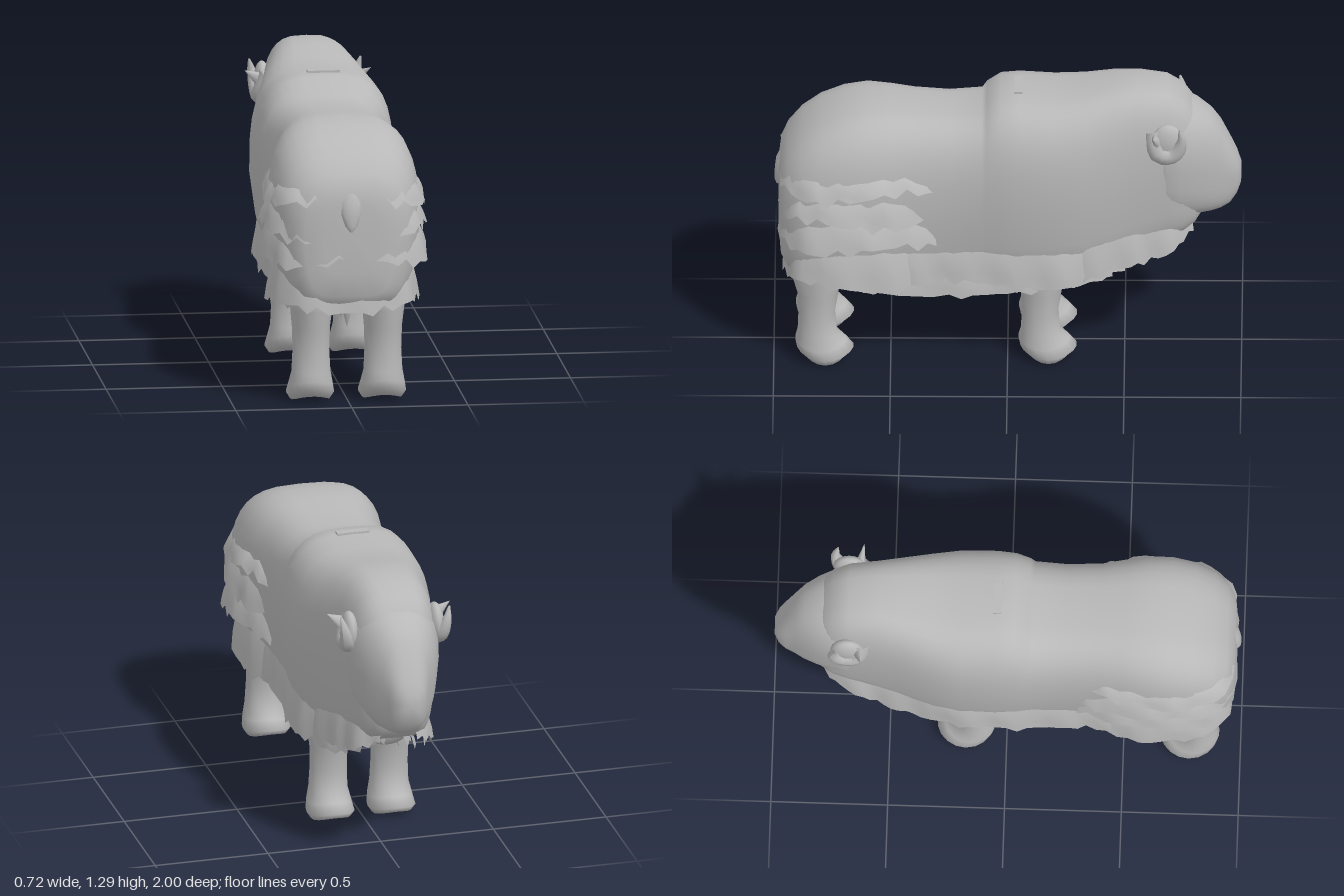
import * as THREE from 'three';

const fur = new THREE.MeshStandardMaterial({ color: 0xb8b8b8, side: THREE.DoubleSide });
fur.name = 'grey fur';

// Small repeatable noise in -1..1
const noise = (i) => Math.sin(i * 12.9898) * 0.6 + Math.sin(i * 4.137 + 1.3) * 0.4;

// Surface through rows of points; closed rows wrap around and get end caps
function gridMesh(name, rows, closed) {
  const n = rows[0].length, pos = rows.flat(2), idx = [];
  for (let i = 0; i < rows.length - 1; i++) {
    for (let j = 0; j < (closed ? n : n - 1); j++) {
      const a = i * n + j, b = i * n + (j + 1) % n;
      idx.push(a, b, a + n, b, b + n, a + n);
    }
  }
  if (closed) {
    [0, rows.length - 1].forEach((i) => {
      const c = pos.length / 3, r = rows[i];
      pos.push(...[0, 1, 2].map((k) => r.reduce((s, p) => s + p[k], 0) / n));
      for (let j = 0; j < n; j++) {
        const a = i * n + j, b = i * n + (j + 1) % n;
        if (i === 0) idx.push(c, b, a); else idx.push(c, a, b);
      }
    });
  }
  const g = new THREE.BufferGeometry();
  g.setAttribute('position', new THREE.Float32BufferAttribute(pos, 3));
  g.setIndex(idx);
  g.computeVertexNormals();
  const m = new THREE.Mesh(g, fur);
  m.name = name;
  return m;
}

// Rounded section at z: domed above, tapered below
function section([z, top, bot, w], mid, upPower, lowPower, taper) {
  const yc = bot + (top - bot) * mid, ring = [], n = 36;
  for (let j = 0; j < n; j++) {
    const a = (j / n) * Math.PI * 2, c = Math.cos(a), s = Math.sin(a);
    const e = 2 / (s >= 0 ? upPower : lowPower);
    const px = Math.sign(c) * Math.abs(c) ** e, py = Math.abs(s) ** e;
    ring.push(s >= 0 ? [w * px, yc + (top - yc) * py, z]
      : [w * px * (1 - taper * py), yc - (yc - bot) * py, z]);
  }
  return ring;
}

// Hanging layer of hair along a plan path [x, z], with ragged locks
function skirt(name, path, yTop, yBottom, inset, flare, n, jag, seed) {
  const curve = new THREE.CatmullRomCurve3(path.map(([x, z]) => new THREE.Vector3(x, 0, z)));
  const rows = [[], [], [], []];
  for (let i = 0; i <= n; i++) {
    const t = i / n, p = curve.getPoint(t), d = curve.getTangent(t);
    const y0 = yTop, y1 = yBottom(t) + jag * noise(i + seed) + (i % 2 ? jag * 0.6 : 0);
    [0, 0.35, 0.75, 1].forEach((v, k) => {
      const out = (flare + inset) * Math.sqrt(v) - inset + (k > 1 ? 0.01 * noise(i * 3 + seed) : 0);
      rows[k].push([p.x + d.z * out, y0 + (y1 - y0) * v, p.z - d.x * out]);
    });
  }
  return gridMesh(name, rows, false);
}

// Leg sections: y, centre z, half depth, half width
function leg(name, x, z) {
  const prof = [[0.0, -0.03, 0.09, 0.085], [0.03, -0.03, 0.122, 0.104], [0.07, -0.01, 0.11, 0.096],
    [0.13, 0.005, 0.085, 0.084], [0.22, 0.005, 0.078, 0.078], [0.32, 0, 0.088, 0.081],
    [0.4, 0, 0.11, 0.09], [0.52, 0, 0.12, 0.095]];
  const rows = prof.map(([y, cz, rz, rx], k) => Array.from({ length: 18 }, (_, j) => {
    const a = (j / 18) * Math.PI * 2;
    // the heel and toe lift slightly off the ground
    const lift = y < 0.1 ? 0.025 * Math.abs(Math.sin(a)) ** 2 : 0;
    const r = 1 + (k > 3 ? 0.05 * noise(j * 2 + k) : 0);
    return [x + rx * r * Math.cos(a), y + lift, z + cz - rz * r * Math.sin(a)];
  }));
  return gridMesh(name, rows, true);
}

// Horn curling up beside the head, tapering to a tip
function hornMesh(name, s) {
  const curve = new THREE.CatmullRomCurve3([[0.16, 1.12, -0.63], [0.195, 1.03, -0.65],
    [0.205, 1.03, -0.71], [0.225, 1.1, -0.745], [0.24, 1.165, -0.735]].map(([x, y, z]) => new THREE.Vector3(s * x, y, z)));
  const tube = new THREE.TubeGeometry(curve, 16, 0.05, 10);
  const p = tube.attributes.position, v = new THREE.Vector3();
  for (let i = 0; i < p.count; i++) {
    const t = Math.floor(i / 11) / 16, c = curve.getPointAt(t);
    v.fromBufferAttribute(p, i).sub(c).multiplyScalar(1 - 0.92 * t * t).add(c);
    p.setXYZ(i, v.x, v.y, v.z);
  }
  tube.computeVertexNormals();
  const m = new THREE.Mesh(tube, fur);
  m.name = name;
  return m;
}

export function createModel() {
  const g = new THREE.Group();
  g.name = 'shaggyOx';

  // Body: z, top, bottom, half width
  const body = [[-0.84, 1.1, 0.68, 0.1], [-0.8, 1.17, 0.62, 0.145], [-0.75, 1.235, 0.585, 0.175],
    [-0.68, 1.275, 0.56, 0.195], [-0.56, 1.29, 0.5, 0.212], [-0.45, 1.28, 0.46, 0.24],
    [-0.33, 1.255, 0.43, 0.275], [-0.2, 1.24, 0.42, 0.302], [-0.05, 1.25, 0.41, 0.302],
    [0.03, 1.245, 0.41, 0.295], [0.09, 1.205, 0.41, 0.285], [0.11, 1.175, 0.41, 0.28],
    [0.25, 1.165, 0.4, 0.274], [0.4, 1.175, 0.4, 0.28], [0.5, 1.185, 0.4, 0.3],
    [0.6, 1.19, 0.4, 0.318], [0.7, 1.17, 0.4, 0.323], [0.8, 1.13, 0.4, 0.313],
    [0.88, 1.075, 0.41, 0.29], [0.94, 1.01, 0.43, 0.25], [0.97, 0.95, 0.48, 0.2],
    [0.98, 0.88, 0.58, 0.12]];
  g.add(gridMesh('body', body.map((s) => section(s, 0.45, 3.2, 5, 0.16)), true));

  // Soft underside between the legs
  const belly = [[-0.62, 0.6, 0.5, 0.1], [-0.45, 0.6, 0.44, 0.17], [-0.2, 0.6, 0.4, 0.19], [0, 0.6, 0.355, 0.2],
    [0.2, 0.6, 0.33, 0.2], [0.4, 0.6, 0.335, 0.2], [0.6, 0.6, 0.35, 0.18], [0.8, 0.6, 0.38, 0.12], [0.88, 0.6, 0.42, 0.08]];
  g.add(gridMesh('belly', belly.map((s) => section(s, 0.6, 3, 2.2, 0.2)), true));

  // Head: deep forehead narrowing to the muzzle
  const head = [[-0.998, 0.88, 0.79, 0.035], [-0.98, 0.935, 0.74, 0.065], [-0.95, 1.0, 0.695, 0.085],
    [-0.91, 1.08, 0.672, 0.105], [-0.87, 1.13, 0.665, 0.135], [-0.81, 1.175, 0.66, 0.166],
    [-0.74, 1.21, 0.66, 0.192], [-0.68, 1.2, 0.665, 0.202], [-0.63, 1.17, 0.7, 0.18]];
  g.add(gridMesh('head', head.map((s) => section(s, 0.5, 2.5, 3.5, 0.12)), true));

  // Plan of the hindquarters, from the flank round to the back
  const hind = [[0.24, 0.32], [0.295, 0.46], [0.325, 0.62], [0.32, 0.78], [0.275, 0.905], [0.17, 0.96]];

  for (const s of [1, -1]) {
    const side = s > 0 ? 'left' : 'right';
    const place = (a) => (s > 0 ? a : a.slice().reverse()).map(([x, z]) => [s * x, z]);
    const dir = (f) => (t) => f(s > 0 ? t : 1 - t);

    // Horn on a rounded boss, and ear standing out behind it
    const boss = new THREE.Mesh(new THREE.SphereGeometry(1, 16, 12), fur);
    boss.name = side + 'HornBoss';
    boss.scale.set(0.035, 0.085, 0.07);
    boss.position.set(s * 0.19, 1.08, -0.685);
    const ear = new THREE.Mesh(new THREE.ConeGeometry(0.06, 0.15, 10), fur);
    ear.name = side + 'Ear';
    ear.scale.z = 0.6;
    ear.position.set(s * 0.21, 1.1, -0.635);
    ear.rotation.set(0.3, 0, -s * 1.0);
    g.add(hornMesh(side + 'Horn', s), boss, ear);

    // Legs
    g.add(leg(side + 'FrontLeg', s * 0.135, -0.145), leg(side + 'RearLeg', s * 0.155, 0.81));

    // Long hair along the flank, belly and chest
    g.add(skirt(side + 'FlankHair', place([[0.2, -0.44], [0.272, -0.22], [0.272, 0], [0.255, 0.25], [0.265, 0.45]]),
      0.62, () => 0.415, 0.03, 0.018, 22, 0.025, 3));
    [0.2, 0.11].forEach((x, k) => g.add(skirt(side + 'BellyHair' + (k + 1),
      place([[x * 0.7, -0.5], [x * 0.95, -0.25], [x, 0], [x, 0.25], [x, 0.62]]),
      0.5, dir((t) => 0.425 - 0.1 * Math.sin(t * Math.PI * 0.75)), 0.03, 0.015, 20, 0.016, 8 + k)));
    g.add(skirt(side + 'ChestHair', place([[0.07, -0.78], [0.15, -0.7], [0.18, -0.58], [0.21, -0.46], [0.24, -0.32]]),
      0.72, dir((t) => 0.575 - 0.16 * t), 0.035, 0.018, 16, 0.02, 5));
    g.add(skirt(side + 'InnerChestHair', place([[0.03, -0.72], [0.08, -0.62], [0.1, -0.52], [0.11, -0.4]]),
      0.62, dir((t) => 0.54 - 0.12 * t), 0.02, 0.015, 10, 0.02, 2));

    // Upper ragged tiers on the thighs, sinking into the rump at the back
    [[0.97, 0.98, 0.86], [0.99, 0.9, 0.73]].forEach(([scale, y0, y1], k) => g.add(
      skirt(side + 'ThighHair' + (k + 1), place([...hind.map(([x, z]) => [x * scale, z * 0.985]), [0.1, 0.91]]),
        y0, () => y1, 0.06, 0.03, 20, 0.034, k * 7)));
  }

  // Lower tiers run right round the rump: plan scale, top, bottom, flare
  const rump = [...hind, [0, 0.96], ...hind.slice().reverse().map(([x, z]) => [-x, z])];
  [[0.99, 0.985, 0.8, 0.61, 0.032], [0.92, 0.975, 0.66, 0.41, 0.022]].forEach(([sx, sz, y0, y1, flare], k) => {
    g.add(skirt('rumpHair' + (k + 1), rump.map(([x, z]) => [x * sx, z * sz]),
      y0, () => y1, 0.05, flare, 40, 0.03, 14 + k * 7));
  });

  // Hanging locks under the middle of the body
  for (let i = 0; i < 4; i++) {
    const len = 0.14 + 0.04 * Math.abs(noise(i + 2));
    const lock = new THREE.Mesh(new THREE.ConeGeometry(0.045, len, 7, 2), fur);
    lock.name = 'bellyLock';
    lock.rotation.x = Math.PI;
    lock.position.set(0.015 * noise(i), 0.45 - len / 2, 0.28 + i * 0.14);
    g.add(lock);
  }

  // Short tail, pointed at the bottom and lying on the rump
  const tailRows = [[0.765, 0.985, 0.006, 0.006], [0.79, 0.98, 0.026, 0.018], [0.84, 0.972, 0.046, 0.026],
    [0.89, 0.96, 0.05, 0.032], [0.95, 0.93, 0.042, 0.035], [1.01, 0.89, 0.02, 0.03]];
  g.add(gridMesh('tail', tailRows.map(([y, z, rx, rz]) => Array.from({ length: 14 }, (_, j) => {
    const a = (j / 14) * Math.PI * 2;
    return [rx * Math.cos(a), y, z - rz * Math.sin(a)];
  })), true));

  // Small tuft on the shoulder hump
  const tuft = new THREE.Mesh(new THREE.BoxGeometry(0.14, 0.01, 0.035), fur);
  tuft.name = 'shoulderTuft';
  tuft.position.set(0, 1.252, -0.045);
  g.add(tuft);
  return g;
}
